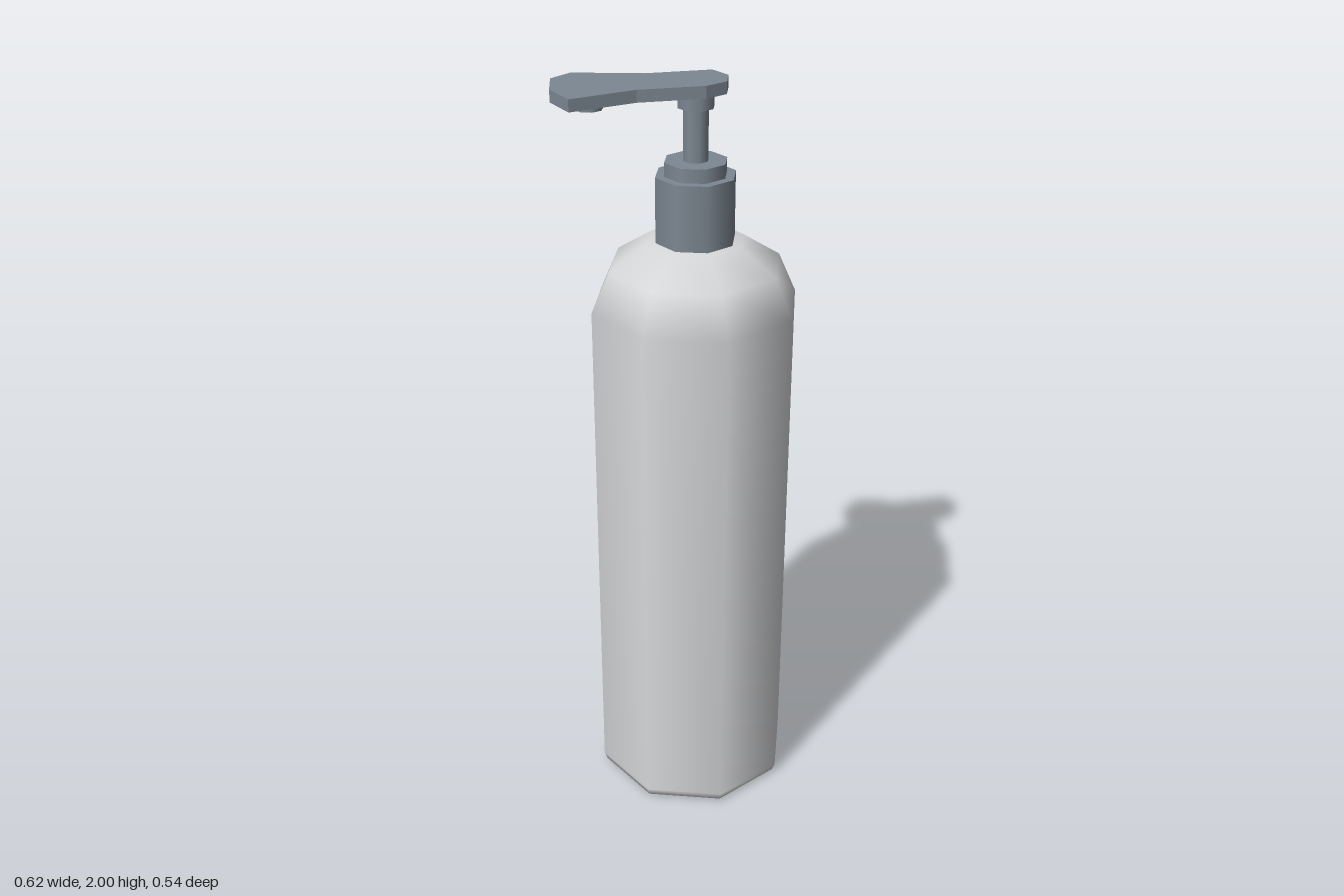
import * as THREE from 'three';

const AXIS_X = 0.042; // the bottle axis sits off-centre because the spout overhangs
const SIDES = 8;

export function createModel() {
  const group = new THREE.Group();
  group.name = 'pumpBottle';

  const bottleGrey = new THREE.MeshStandardMaterial({ color: 0xd6d7d9 });
  bottleGrey.name = 'bottleGrey';
  const pumpSlate = new THREE.MeshStandardMaterial({ color: 0x7d8892 });
  pumpSlate.name = 'pumpSlate';

  const add = (name, geometry, material, x = AXIS_X, y = 0, z = 0) => {
    const mesh = new THREE.Mesh(geometry, material);
    mesh.name = name;
    mesh.position.set(x, y, z);
    group.add(mesh);
    return mesh;
  };
  const lathe = (points) =>
    new THREE.LatheGeometry(points.map(([r, y]) => new THREE.Vector2(r, y)), SIDES);
  const cylinder = (name, radius, bottom, top) =>
    add(name, new THREE.CylinderGeometry(radius, radius, top - bottom, SIDES),
      pumpSlate, AXIS_X, (bottom + top) / 2);

  // Bottle: rounded foot, straight wall, sloping shoulder
  add('bottle', lathe([
    [0, 0], [0.235, 0], [0.262, 0.009], [0.27, 0.032],
    [0.27, 1.43], [0.223, 1.535], [0.125, 1.598], [0, 1.598],
  ]), bottleGrey);

  // Pump: screw collar, ring, stem and socket under the head
  cylinder('screwCollar', 0.103, 1.595, 1.765);
  cylinder('collarRing', 0.08, 1.765, 1.8);
  cylinder('pumpStem', 0.032, 1.8, 1.93);
  cylinder('headSocket', 0.046, 1.93, 1.972);

  // Pump head: flat plate flaring towards the spout, outline as [x, z]
  const outline = [
    [0.122, 0], [0.1, -0.058], [-0.065, -0.07], [-0.232, -0.127],
    [-0.29, -0.088], [-0.313, 0.007], [-0.29, 0.101], [-0.122, 0.067],
    [0.042, 0.08], [0.1, 0.056],
  ];
  const shape = new THREE.Shape(outline.map(([x, z]) => new THREE.Vector2(x, -z)));
  const head = new THREE.ExtrudeGeometry(shape, { depth: 0.03, bevelEnabled: false });
  head.rotateX(-Math.PI / 2);
  add('pumpHead', head, pumpSlate, 0, 1.97);

  // Spout: short hollow tube under the wide end
  add('spout', lathe([
    [0, 0.02], [0.02, 0.02], [0.02, 0], [0.02, 0], [0.035, 0], [0.035, 0], [0.035, 0.026],
  ]), pumpSlate, -0.22, 1.946);

  return group;
}
